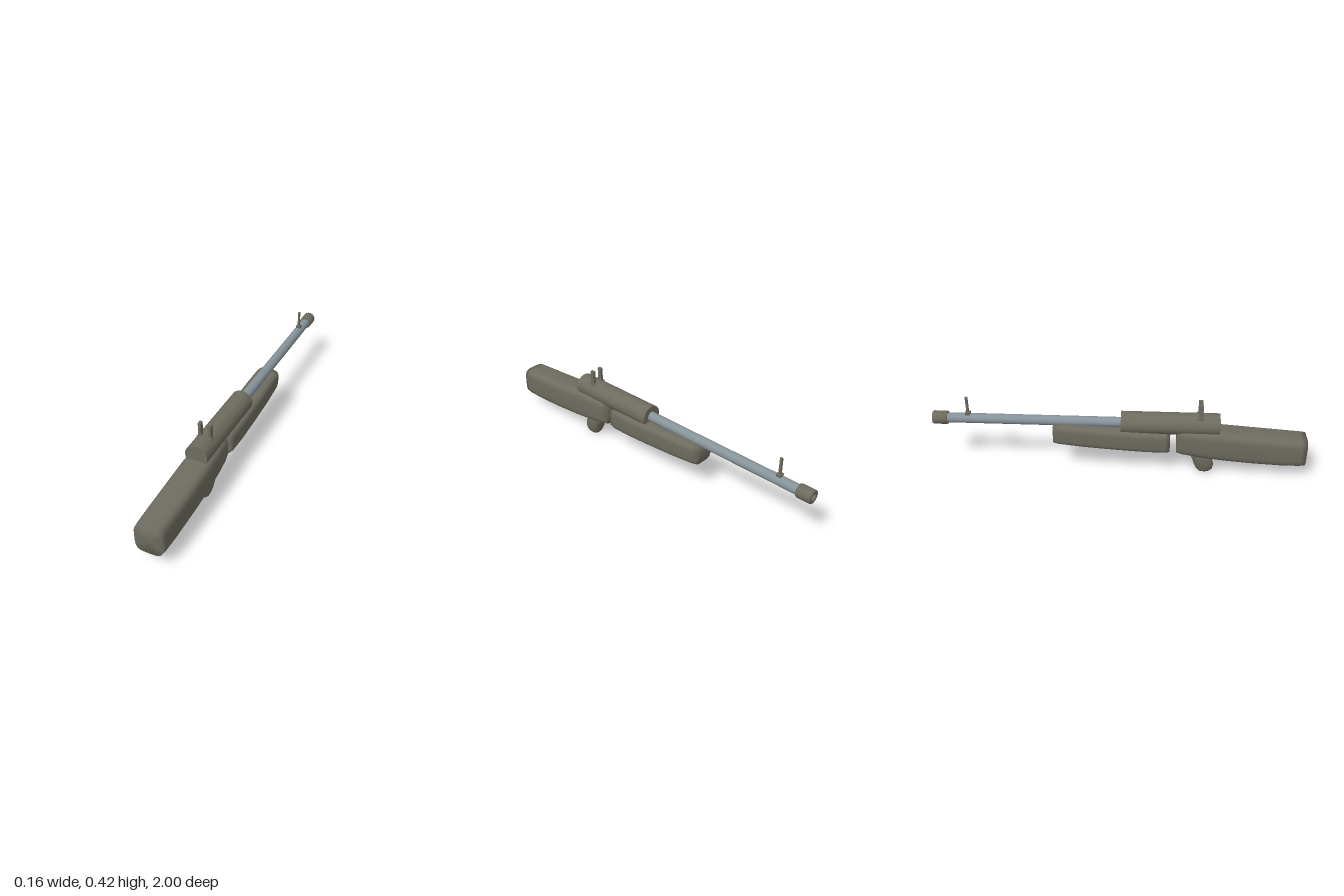
import * as THREE from 'three';
import { toCreasedNormals } from 'three/addons/utils/BufferGeometryUtils.js';

const AXIS_Y = 0.297; // height of the bore line

// Rounded-rectangle loft along z. Sections run from +z to -z: [z, bottom, top, halfWidth].
function loft(sections, power, sides = 32) {
  const pos = [], index = [];
  const round = (v) => Math.sign(v) * Math.abs(v) ** (2 / power);
  for (const [z, lo, hi, w] of sections) {
    for (let j = 0; j < sides; j++) {
      const a = (j / sides) * Math.PI * 2;
      pos.push(w * round(Math.cos(a)), (lo + hi) / 2 + ((hi - lo) / 2) * round(Math.sin(a)), z);
    }
  }
  const last = sections.length - 1;
  for (let i = 0; i < last; i++) {
    for (let j = 0; j < sides; j++) {
      const a = i * sides + j, b = i * sides + ((j + 1) % sides);
      index.push(a, a + sides, b, b, a + sides, b + sides);
    }
  }
  // end caps
  for (const i of [0, last]) {
    const [z, lo, hi] = sections[i], c = pos.length / 3;
    pos.push(0, (lo + hi) / 2, z);
    for (let j = 0; j < sides; j++) {
      const a = i * sides + j, b = i * sides + ((j + 1) % sides);
      if (i === 0) index.push(c, a, b); else index.push(c, b, a);
    }
  }
  const g = new THREE.BufferGeometry();
  g.setAttribute('position', new THREE.Float32BufferAttribute(pos, 3));
  g.setIndex(index);
  g.computeVertexNormals();
  return g;
}

// Cylinder lying along the bore line between two z values.
function tubeAlongZ(radius, z0, z1) {
  const g = new THREE.CylinderGeometry(radius, radius, Math.abs(z1 - z0), 32);
  return g.rotateX(Math.PI / 2).translate(0, AXIS_Y, (z0 + z1) / 2);
}

export function createModel() {
  const model = new THREE.Group();
  model.name = 'rifle';
  const body = new THREE.MeshStandardMaterial({ color: 0x6e6c60 });
  body.name = 'olive grey';
  const steel = new THREE.MeshStandardMaterial({ color: 0x87939a });
  steel.name = 'blue grey steel';

  const add = (name, geometry, material = body, parent = model) => {
    const mesh = new THREE.Mesh(geometry, material);
    mesh.name = name;
    parent.add(mesh);
    return mesh;
  };
  const box = (w, h, d, x, y, z) => new THREE.BoxGeometry(w, h, d).translate(x, y, z);

  // Shoulder stock
  add('stock', loft([
    [1.0, 0.08, 0.238, 0.072], [0.97, 0.077, 0.241, 0.075], [0.88, 0.077, 0.247, 0.077],
    [0.7, 0.087, 0.26, 0.078], [0.55, 0.1, 0.272, 0.077], [0.43, 0.114, 0.276, 0.073],
    [0.34, 0.128, 0.276, 0.066], [0.31, 0.136, 0.272, 0.06],
  ], 4));

  // Fore-end under the barrel
  add('foreEnd', loft([
    [0.275, 0.136, 0.255, 0.058], [0.25, 0.135, 0.259, 0.066], [0.15, 0.137, 0.266, 0.07],
    [0, 0.146, 0.275, 0.071], [-0.18, 0.159, 0.285, 0.07], [-0.32, 0.173, 0.291, 0.066],
    [-0.35, 0.178, 0.288, 0.06],
  ], 4));

  // Pistol grip: lofted bottom to top, then stood upright
  add('grip', loft([
    [-0.004, 0.445, 0.475, 0.018], [-0.01, 0.432, 0.502, 0.029], [-0.022, 0.422, 0.514, 0.034],
    [-0.045, 0.412, 0.517, 0.041], [-0.08, 0.4, 0.51, 0.046], [-0.15, 0.37, 0.475, 0.048],
  ], 2.5).rotateX(Math.PI / 2));

  // Receiver and barrel
  add('receiver', tubeAlongZ(0.06, 0.535, 0.012));
  add('barrel', tubeAlongZ(0.027, 0.1, -0.94), steel);

  // Muzzle collar with an open bore
  const profile = [[0, 0], [0.034, 0], [0.036, 0.006], [0.036, 0.074], [0.034, 0.08],
    [0.019, 0.08], [0.019, 0.03], [0, 0.03]].map(([r, h]) => new THREE.Vector2(r, h));
  const collar = new THREE.LatheGeometry(profile, 32).rotateX(-Math.PI / 2).translate(0, AXIS_Y, -0.92);
  add('muzzle', toCreasedNormals(collar, 0.6));

  // Rear sight: two posts on small feet
  const rear = new THREE.Group();
  rear.name = 'rearSight';
  model.add(rear);
  for (const side of [-1, 1]) {
    add('rearSightFoot', box(0.026, 0.018, 0.034, side * 0.027, 0.341, 0.432), body, rear);
    add('rearSightPost', box(0.015, 0.082, 0.023, side * 0.027, 0.384, 0.432), body, rear);
  }

  // Front sight: one thin post
  const front = new THREE.Group();
  front.name = 'frontSight';
  model.add(front);
  add('frontSightFoot', box(0.026, 0.02, 0.026, 0, 0.326, -0.81), body, front);
  add('frontSightPost', box(0.01, 0.095, 0.013, 0, 0.3775, -0.81), body, front);

  return model;
}
